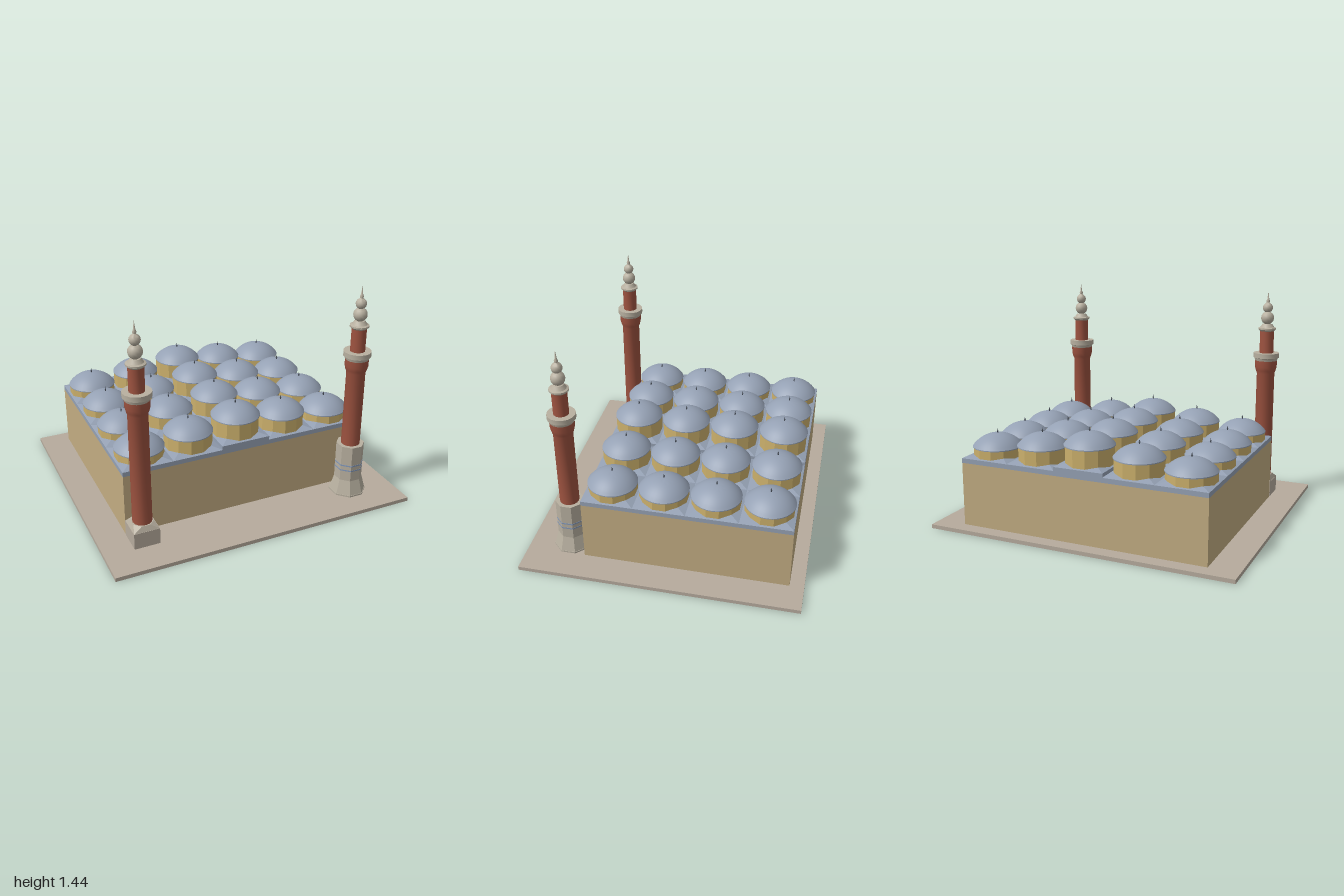
import * as THREE from 'three';
import { toCreasedNormals } from 'three/addons/utils/BufferGeometryUtils.js';
import { ConvexGeometry } from 'three/addons/geometries/ConvexGeometry.js';

const mat = (name, color) => {
  const m = new THREE.MeshStandardMaterial({ color });
  m.name = name;
  return m;
};

export function createModel() {
  const paving = mat('paving', 0xb6ab9d);
  const wall = mat('wallStone', 0xc2ac82);
  const lead = mat('leadRoof', 0x95a1b4);
  const drumStone = mat('drumStone', 0xcbb06c);
  const brick = mat('brick', 0x9e5340);
  const stone = mat('paleStone', 0xb8b0a0);
  const stripe = mat('blueStripe', 0x8498b8);
  const metal = mat('finialMetal', 0x4c535e);

  const root = new THREE.Group();
  root.name = 'domedHall';

  const add = (parent, name, geo, material, x = 0, y = 0, z = 0) => {
    const m = new THREE.Mesh(geo, material);
    m.name = name;
    m.position.set(x, y, z);
    parent.add(m);
    return m;
  };
  // box given by its centre in plan and its bottom and top heights
  const box = (parent, name, material, x, z, w, d, y0, y1) =>
    add(parent, name, new THREE.BoxGeometry(w, y1 - y0, d), material, x, (y0 + y1) / 2, z);
  // turned solid from [radius, height] pairs, bottom to top
  const turned = (pts, sides, crease = 0.6) =>
    toCreasedNormals(new THREE.LatheGeometry(pts.map(p => new THREE.Vector2(...p)), sides), crease);
  // prism or frustum with flat facets, flats facing the axes
  const prism = (rTop, rBottom, y0, y1, sides) => {
    const g = new THREE.CylinderGeometry(rTop, rBottom, y1 - y0, sides);
    g.rotateY(Math.PI / sides);
    g.translate(0, (y0 + y1) / 2, 0);
    return toCreasedNormals(g, 0.2);
  };

  // Plinth and hall body
  box(root, 'ground', paving, 0, 0, 2, 1.77, 0, 0.025);
  const hallZ = -0.1425, hallD = 1.305;
  box(root, 'hallWalls', wall, 0, hallZ, 1.62, hallD, 0.025, 0.43);
  box(root, 'roofBand', lead, 0, hallZ, 1.62, hallD, 0.43, 0.46);
  box(root, 'raisedCentreRoof', lead, 0, hallZ, 0.324, hallD, 0.46, 0.485);

  // Domed bays: 5 columns by 4 rows, rising toward the middle column
  const bayW = 1.62 / 5, bayD = hallD / 4, domeR = 0.157, domeH = 0.078;
  const hip = new THREE.ConeGeometry(Math.SQRT1_2, 1, 4).toNonIndexed();
  hip.rotateY(Math.PI / 4);
  hip.scale(bayW, 0.045, bayD);
  hip.translate(0, 0.0225, 0);
  hip.computeVertexNormals();

  const R = (domeR ** 2 + domeH ** 2) / (2 * domeH);
  const arc = Math.asin(domeR / R);
  const domePts = [[0, -0.006], [domeR, -0.006], [domeR, 0]];
  for (let i = 1; i <= 10; i++) {
    const a = arc * (1 - i / 10);
    domePts.push([i === 10 ? 0 : R * Math.sin(a), domeH - R + R * Math.cos(a)]);
  }
  const domeGeo = turned(domePts, 32);
  const finialGeo = turned([[0.005, 0], [0.003, 0.008], [0.006, 0.013], [0.003, 0.018], [0, 0.034]], 8);

  const levels = [
    { roof: 0.485, eave: 0.605 },
    { roof: 0.462, eave: 0.563 },
    { roof: 0.46, eave: 0.525 },
  ];
  for (let c = -2; c <= 2; c++) {
    const { roof, eave } = levels[Math.abs(c)];
    for (let r = 0; r < 4; r++) {
      const bay = new THREE.Group();
      bay.name = 'domedBay';
      bay.position.set(c * bayW, 0, hallZ + (r - 1.5) * bayD);
      root.add(bay);
      add(bay, 'hippedRoof', hip, lead, 0, roof, 0);
      add(bay, 'drum', prism(0.154, 0.154, roof, eave, 12), drumStone);
      add(bay, 'dome', domeGeo, lead, 0, eave, 0);
      add(bay, 'domeFinial', finialGeo, metal, 0, eave + domeH - 0.003, 0);
    }
  }

  // Upper minaret, shared by both towers
  const minaret = (name, x, z, shaftBottom) => {
    const g = new THREE.Group();
    g.name = name;
    g.position.set(x, 0, z);
    root.add(g);
    add(g, 'shaft', turned([[0.061, shaftBottom], [0.06, 0.88], [0.068, 0.9], [0.074, 0.925],
      [0.075, 0.975]], 16), brick);
    add(g, 'balcony', turned([[0.074, 0.965], [0.08, 0.985], [0.087, 0.988], [0.087, 1.02],
      [0.045, 1.02]], 16), stone);
    add(g, 'upperShaft', turned([[0.047, 1.015], [0.047, 1.175]], 16), brick);
    add(g, 'cornice', turned([[0.047, 1.168], [0.06, 1.18], [0.06, 1.19], [0.047, 1.195],
      [0.032, 1.218]], 16), stone);
    const bulbs = [[0.032, 1.215]];
    for (const [cy, rad] of [[1.257, 0.044], [1.326, 0.034]])
      for (let i = -3; i <= 3; i++) {
        const a = i * 0.38;
        bulbs.push([rad * Math.cos(a), cy + rad * Math.sin(a)]);
      }
    bulbs.push([0.01, 1.362], [0.012, 1.372], [0.007, 1.385], [0, 1.437]);
    add(g, 'bulbFinial', turned(bulbs, 16, 0.9), stone);
    return g;
  };

  // Square-based tower on the model's right
  const rightTower = minaret('squareBaseMinaret', -0.73, 0.597, 0.15);
  box(rightTower, 'squareBase', paving, 0, 0, 0.164, 0.164, 0.025, 0.13);
  const pts = [];
  for (const sx of [-1, 1]) for (const sz of [-1, 1]) pts.push(new THREE.Vector3(sx * 0.08, 0.13, sz * 0.08));
  for (let i = 0; i < 8; i++) {
    const a = (i + 0.5) * Math.PI / 4;
    pts.push(new THREE.Vector3(0.071 * Math.cos(a), 0.163, 0.071 * Math.sin(a)));
  }
  add(rightTower, 'baseTransition', new ConvexGeometry(pts), stone);

  // Octagonal-based tower on the model's left, with two stripes
  const leftTower = minaret('octagonalBaseMinaret', 0.7, 0.62, 0.37);
  const k = 1 / Math.cos(Math.PI / 8);
  add(leftTower, 'baseFoot', prism(0.111 * k, 0.111 * k, 0.025, 0.035, 8), stone);
  add(leftTower, 'baseFlare', prism(0.083 * k, 0.108 * k, 0.035, 0.13, 8), stone);
  add(leftTower, 'octagonalBase', prism(0.083 * k, 0.083 * k, 0.13, 0.375, 8), stone);
  for (const y of [0.2, 0.235])
    add(leftTower, 'baseStripe', prism(0.0845 * k, 0.0845 * k, y, y + 0.009, 8), stripe);

  return root;
}
